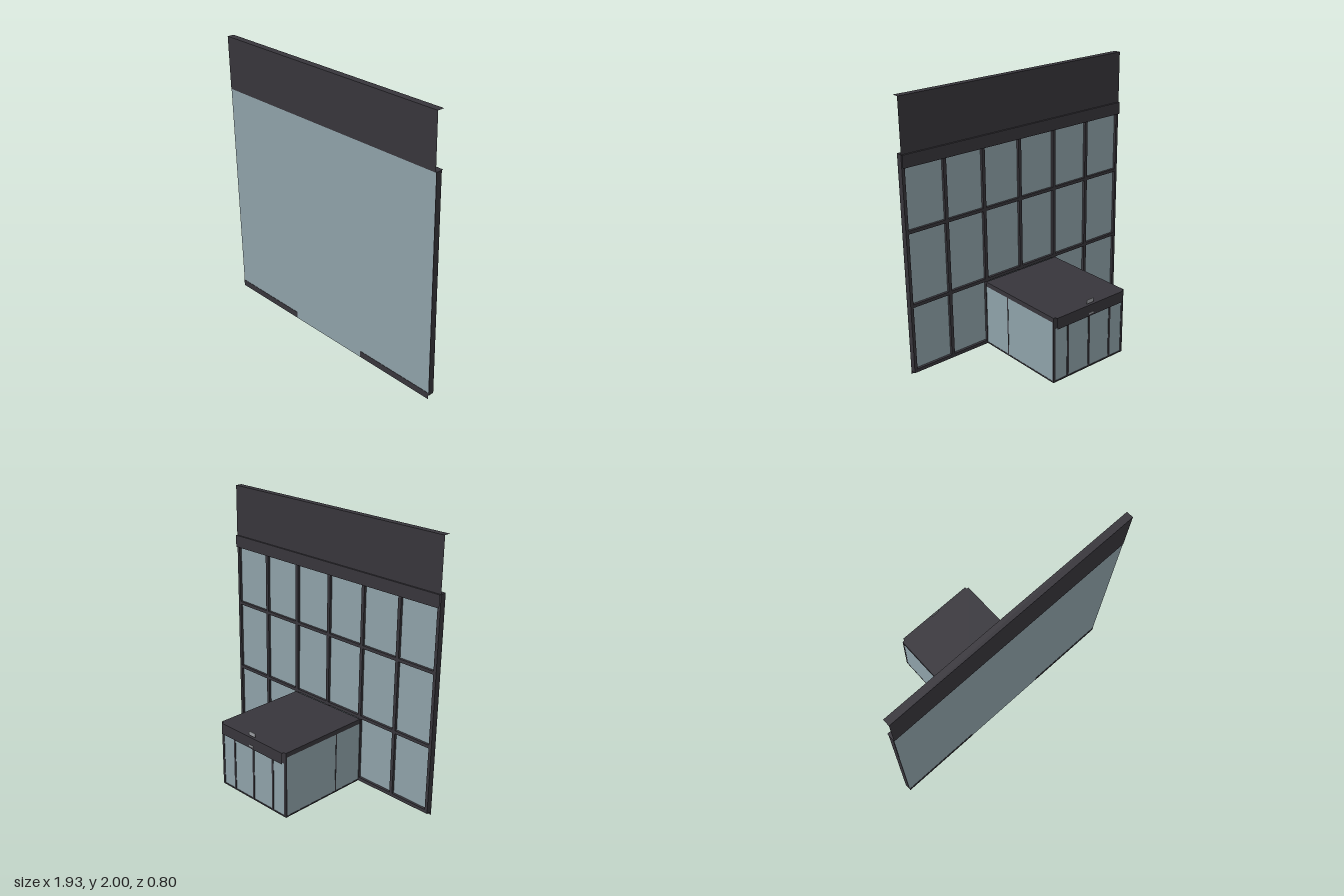
import * as THREE from 'three';

export function createModel() {
  const model = new THREE.Group();
  const material = (name, color) => {
    const m = new THREE.MeshStandardMaterial({ color });
    m.name = name;
    return m;
  };
  const frame = material('dark frame', 0x37353b);
  const glass = material('grey blue glass', 0x8fa2a9);
  const metal = material('light grey plate', 0x9a9ca0);

  // Box given by its limits; openEnds leaves out the two x faces
  function box(name, mat, [x0, x1], [y0, y1], [z0, z1], openEnds = false) {
    const g = new THREE.BoxGeometry(x1 - x0, y1 - y0, z1 - z0);
    if (openEnds) {
      g.setIndex(Array.from(g.index.array).slice(12));
      g.clearGroups();
    }
    g.translate((x0 + x1) / 2, (y0 + y1) / 2, (z0 + z1) / 2);
    const mesh = new THREE.Mesh(g, mat);
    mesh.name = name;
    model.add(mesh);
    return mesh;
  }

  const W = 0.967; // half width of the wall
  const V = 0.328; // half width of the entrance
  const base = 0.026;

  // Wall: glass, upper panel and header
  box('frontGlass', glass, [-W, W], [0, 1.62], [0.395, 0.398], true);
  box('backGlass', glass, [-W + 0.01, W - 0.01], [base, 1.6], [0.369, 0.375], true);
  box('upperPanel', frame, [-W, W], [1.62, 2], [0.35, 0.4], true);
  box('wallHeader', frame, [-W, W], [1.53, 1.62], [0.337, 0.394], true);

  // Wall posts and rails on the back
  for (let i = -3; i <= 3; i++) {
    const x = i * 0.319;
    const edge = Math.abs(i) === 3;
    const range = edge
      ? [x - 0.0125, x + 0.0125].map(v => THREE.MathUtils.clamp(v, -W, W))
      : [x - 0.0125, x + 0.0125];
    box('wallPost', frame, range, [base, edge ? 1.62 : 1.54], [0.35, 0.394]);
  }
  for (const y of [0.54, 1.08]) {
    box('wallRail', frame, [-W, W], [y - 0.012, y + 0.012], [0.35, 0.394], true);
  }

  // Sills on either side of the entrance
  for (const s of [-1, 1]) {
    const span = s < 0 ? [-W, -V - 0.005] : [V + 0.005, W];
    box('backSill', frame, span, [base, 0.052], [0.35, 0.394], true);
    box('frontSill', frame, span, [0.004, 0.05], [0.394, 0.4], true);
  }

  // Entrance block: floor, roof and glass
  const back = -0.381;
  box('entranceFloor', frame, [-V, V], [base, 0.036], [back, 0.35]);
  box('entranceRoof', frame, [-V, V], [0.49, 0.525], [back, 0.35]);
  box('entranceBackGlass', glass, [-V + 0.01, V - 0.01], [base, 0.5], [back + 0.004, back + 0.01]);
  box('entranceHeader', frame, [-0.31, 0.31], [0.44, 0.525], [-0.398, back], true);
  box('entranceHeaderBand', frame, [-V, V], [0.44, 0.5], [back, back + 0.012]);

  // Side glass with one divider, corner posts
  for (const s of [-1, 1]) {
    const side = (name, mat, out, thick, y, z) =>
      box(name, mat, s > 0 ? [out - thick, out] : [-out, -out + thick], y, z);
    side('entranceSideGlass', glass, V - 0.002, 0.006, [base, 0.5], [back + 0.01, 0.35]);
    side('sideDivider', frame, V, 0.012, [base, 0.5], [0.104, 0.113]);
    side('cornerPost', frame, V, 0.018, [base, 0.5], [back, back + 0.012]);
  }

  // Dividers of the sidelights and the two door leaves
  for (const x of [-0.196, 0, 0.196]) {
    box('doorDivider', frame, [x - 0.008, x + 0.008], [base, 0.45], [back, back + 0.012]);
  }

  // Small plain plates over and on the header
  box('upperPlate', metal, [-0.03, 0.03], [0.532, 0.562], [-0.387, -0.383]);
  box('lowerPlate', metal, [-0.022, 0.022], [0.454, 0.466], [-0.4, -0.398]);

  return model;
}
